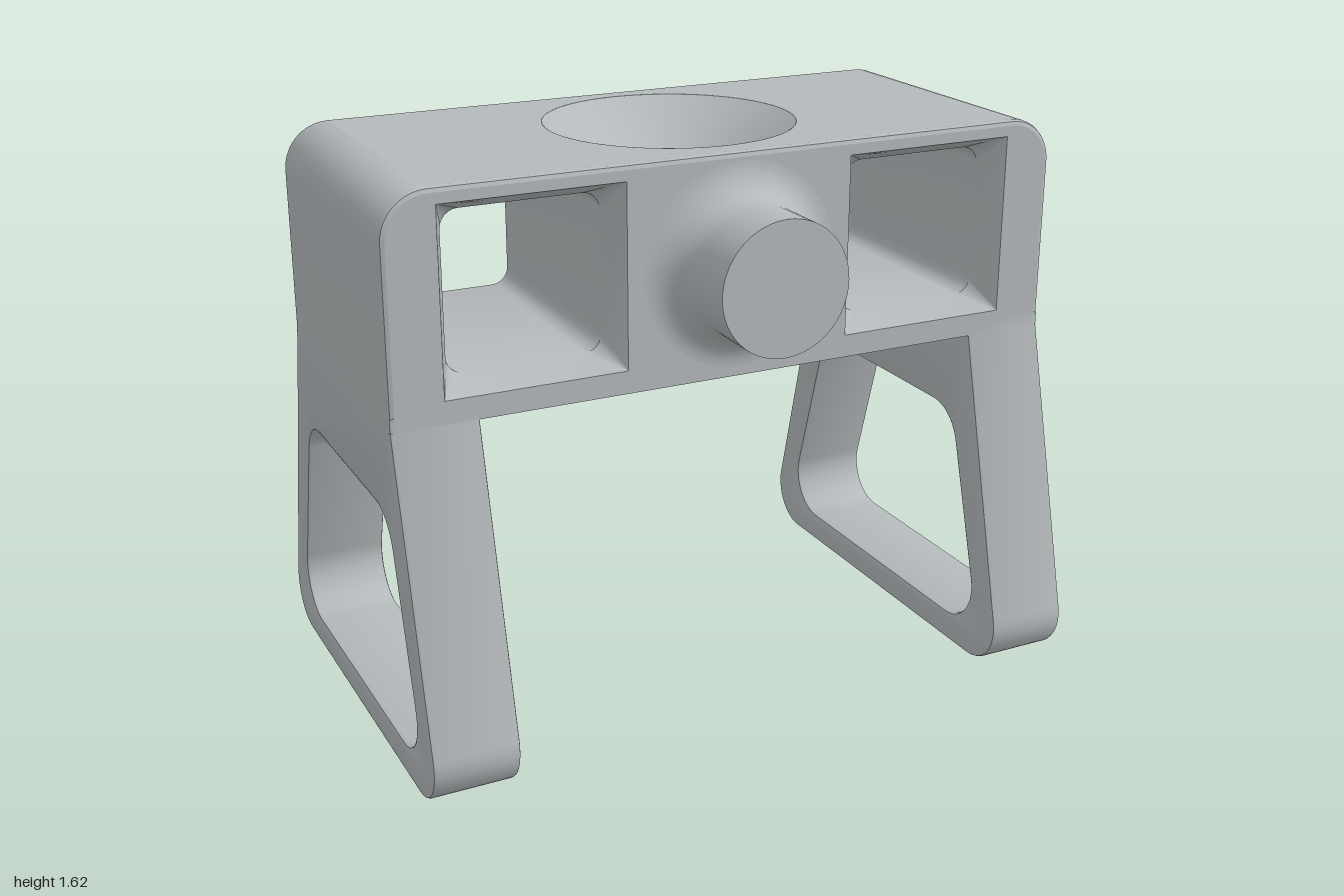
import * as THREE from 'three';
import { toCreasedNormals } from 'three/addons/utils/BufferGeometryUtils.js';

const FRONT = 0.42, BACK = -0.45, TOP = 1.625, FLOOR = 1.0, EDGE = 0.015;
const FUNNEL_Z = -0.02;

// Polygon with filleted corners; each corner is [x, y, radius].
function filleted(corners, steps = 10) {
  const out = [];
  corners.forEach(([x, y, r], i) => {
    const p = new THREE.Vector2(x, y);
    if (!r) { out.push(p); return; }
    const prev = corners[(i + corners.length - 1) % corners.length];
    const next = corners[(i + 1) % corners.length];
    const a = new THREE.Vector2(prev[0] - x, prev[1] - y).normalize();
    const b = new THREE.Vector2(next[0] - x, next[1] - y).normalize();
    const half = Math.acos(a.dot(b)) / 2;
    const c = a.clone().add(b).normalize().multiplyScalar(r / Math.sin(half)).add(p);
    const t = r / Math.tan(half);
    const s = p.clone().addScaledVector(a, t).sub(c), e = p.clone().addScaledVector(b, t).sub(c);
    const a0 = Math.atan2(s.y, s.x);
    const sweep = Math.atan2(s.x * e.y - s.y * e.x, s.dot(e));
    for (let k = 0; k <= steps; k++) {
      const ang = a0 + sweep * k / steps;
      out.push(new THREE.Vector2(c.x + r * Math.cos(ang), c.y + r * Math.sin(ang)));
    }
  });
  return out;
}

const rect = (x0, y0, x1, y1, r) => [[x1, y0, r], [x1, y1, r], [x0, y1, r], [x0, y0, r]];

// Wall through outlines placed along z; rings = [[points, z], ...] from front to back.
function loft(rings, inward, skip = () => false) {
  const pos = [];
  for (let k = 0; k < rings.length - 1; k++) {
    const [p, z0] = rings[k], [q, z1] = rings[k + 1];
    for (let i = 0; i < p.length; i++) {
      if (skip(k, i)) continue;
      const j = (i + 1) % p.length;
      const a = [p[i].x, p[i].y, z0], b = [p[j].x, p[j].y, z0];
      const c = [q[i].x, q[i].y, z1], d = [q[j].x, q[j].y, z1];
      pos.push(...(inward ? [a, b, c, b, d, c] : [a, c, b, b, c, d]).flat());
    }
  }
  const g = new THREE.BufferGeometry();
  g.setAttribute('position', new THREE.Float32BufferAttribute(pos, 3));
  return toCreasedNormals(g, 0.5);
}

// Flat plate in x and z with a round hole; drawn in (x, -z) and laid down.
function holedPlate(x, r) {
  const s = new THREE.Shape(filleted(rect(-x, -FRONT + EDGE, x, -BACK - EDGE, 0)));
  s.holes.push(new THREE.Path().absarc(0, -FUNNEL_Z, r, 0, Math.PI * 2, true));
  return new THREE.ShapeGeometry(s, 48).rotateX(-Math.PI / 2);
}

const lathe = (pts, n = 48) =>
  toCreasedNormals(new THREE.LatheGeometry(pts.map(([x, y]) => new THREE.Vector2(x, y)), n), 0.5);

export function createModel() {
  const group = new THREE.Group();
  const grey = new THREE.MeshStandardMaterial({ color: 0xb3b8ba, side: THREE.DoubleSide });
  grey.name = 'light grey';
  const add = (name, geometry) => {
    const mesh = new THREE.Mesh(geometry, grey);
    mesh.name = name;
    group.add(mesh);
    return mesh;
  };

  // Body walls: rounded upper corners and softened front and back edges
  const outline = (inset) => filleted([
    [1 - inset, FLOOR, 0], [1 - inset, TOP - inset, 0.13 - inset],
    [-1 + inset, TOP - inset, 0.13 - inset], [-1 + inset, FLOOR, 0]]);
  const inner = outline(EDGE), mid = outline(EDGE * 0.3), outer = outline(0);
  const topEdge = 11, bottomEdge = outer.length - 1;
  add('bodyShell', loft([
    [inner, FRONT], [mid, FRONT - EDGE * 0.3], [outer, FRONT - EDGE],
    [outer, BACK + EDGE], [mid, BACK + EDGE * 0.3], [inner, BACK],
  ], false, (k, i) => i === bottomEdge || (k === 2 && i === topEdge)));

  // Front and back faces with the two square openings
  const face = new THREE.Shape(inner);
  for (const [x0, x1] of [[0.335, 0.85], [-0.85, -0.335]]) {
    face.holes.push(new THREE.Path(filleted(rect(x0, 1.065, x1, 1.58, 0))));
  }
  add('bodyFront', new THREE.ShapeGeometry(face)).position.z = FRONT;
  add('bodyBack', new THREE.ShapeGeometry(face).rotateY(Math.PI)).position.z = BACK;

  // Top and underside, pierced by the funnel
  add('bodyTop', holedPlate(0.87, 0.36)).position.y = TOP;
  const under = new THREE.Shape(filleted(rect(-1, BACK, 1, FRONT, 0)));
  under.holes.push(new THREE.Path().absarc(0, FUNNEL_Z, 0.075, 0, Math.PI * 2, true));
  add('bodyUnderside', new THREE.ShapeGeometry(under, 48).rotateX(Math.PI / 2)).position.y = FLOOR;

  // Square tunnels, chamfered at both ends
  const chamfer = 0.09;
  for (const side of [1, -1]) {
    const c = side * 0.5925;
    const mouth = filleted(rect(c - 0.2575, 1.065, c + 0.2575, 1.58, 0.0001), 6);
    const bore = filleted(rect(c - 0.22, 1.1, c + 0.22, 1.54, 0.05), 6);
    add(side > 0 ? 'leftTunnel' : 'rightTunnel', loft([
      [mouth, FRONT], [bore, FRONT - chamfer], [bore, BACK + chamfer], [mouth, BACK]], true));
  }

  // Funnel: wide cone, steep throat and drain hole
  add('funnel', lathe([[0.36, TOP], [0.155, 1.475], [0.078, 1.3], [0.075, FLOOR]]))
    .position.z = FUNNEL_Z;
  // Collar that just shows in the upper inner corners of the tunnels
  add('funnelCollar', lathe([[0.3, 1.5], [0.412, 1.5], [0.412, 1.56]]))
    .position.z = FUNNEL_Z;

  // Front knob flaring into the face
  const knob = [];
  for (let k = 0; k <= 10; k++) {
    const a = k / 10 * Math.PI / 2;
    knob.push([0.287 - 0.1 * Math.sin(a), 0.1 - 0.1 * Math.cos(a)]);
  }
  knob.push([0.187, 0.25], [0, 0.25]);
  add('knob', lathe(knob, 64).rotateX(Math.PI / 2)).position.set(0, 1.315, FRONT);

  // Flared leg frames, drawn in (z, y) and extruded across x
  const bevel = 0.01, width = 0.245;
  const leg = new THREE.Shape(filleted([
    [0.673, 0, 0.13], [FRONT, FLOOR, 0], [FRONT, 1.04, 0],
    [BACK, 1.04, 0], [BACK, FLOOR, 0], [-0.703, 0, 0.13]], 14));
  leg.holes.push(new THREE.Path(filleted([
    [0.549, 0.09, 0.125], [0.355, 0.75, 0.13], [-0.385, 0.75, 0.13], [-0.579, 0.09, 0.125]], 14)));
  const legGeometry = toCreasedNormals(new THREE.ExtrudeGeometry(leg, {
    depth: width - 2 * bevel, bevelEnabled: true, bevelThickness: bevel,
    bevelSize: bevel, bevelOffset: -bevel, bevelSegments: 2,
  }).rotateY(-Math.PI / 2), 0.5);
  add('leftLeg', legGeometry).position.x = 1 - bevel;
  add('rightLeg', legGeometry).position.x = -1 + width - bevel;

  return group;
}
